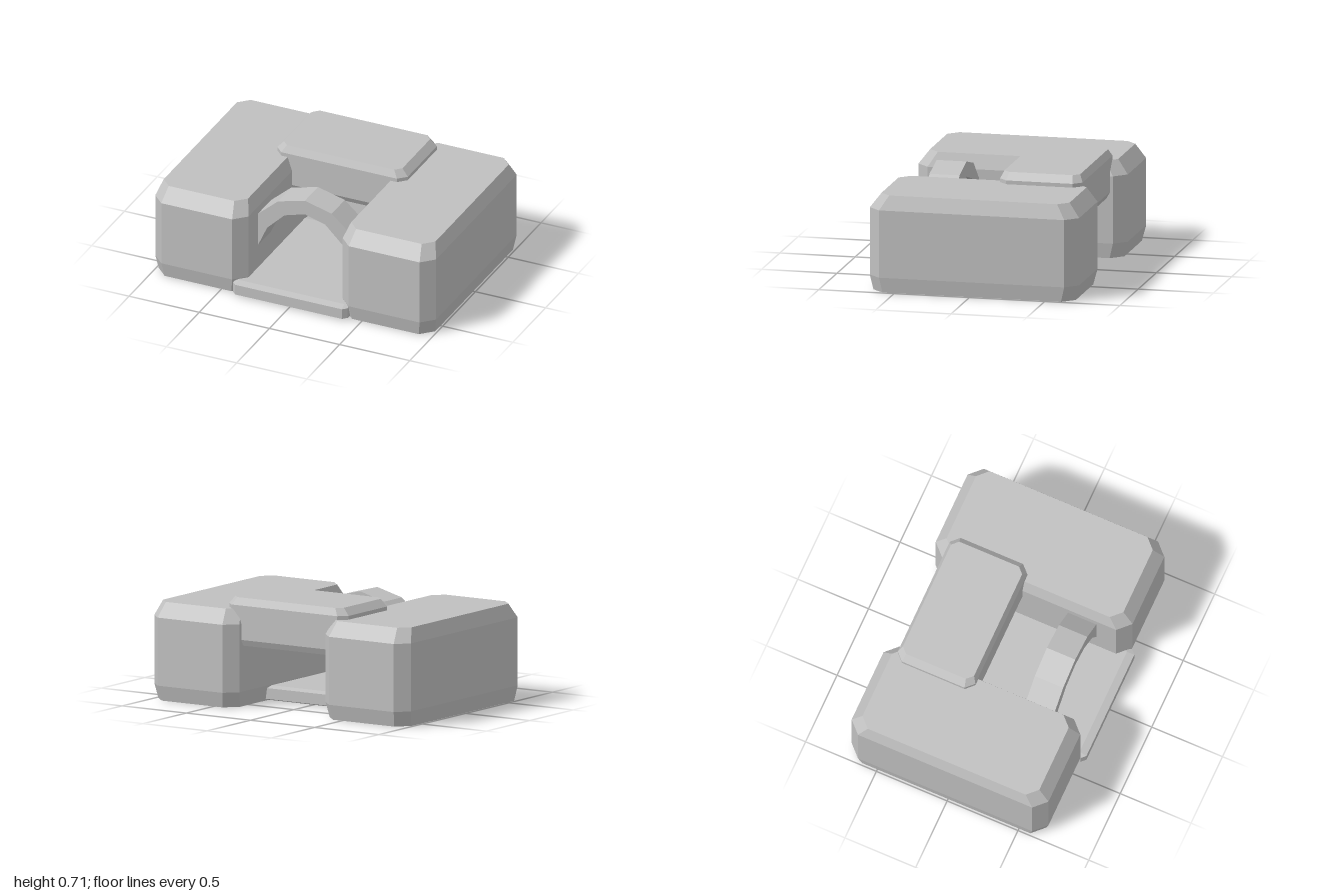
import * as THREE from 'three';

const grey = new THREE.MeshStandardMaterial({ color: 0xc0c0c0 });
grey.name = 'plain grey';

// Corners of a rectangle with cut corners, anticlockwise seen from above
function octagon([y, x0, x1, z0, z1, c]) {
  return [
    [x0 + c, y, z1], [x1 - c, y, z1], [x1, y, z1 - c], [x1, y, z0 + c],
    [x1 - c, y, z0], [x0 + c, y, z0], [x0, y, z0 + c], [x0, y, z1 - c],
  ];
}

// Bevelled solid lofted through octagonal levels, bottom to top
function bevelledBlock(name, levels) {
  const rings = levels.map(octagon);
  const top = rings[rings.length - 1];
  const bottom = rings[0];
  const points = [];
  for (let r = 0; r < rings.length - 1; r++) {
    for (let i = 0; i < 8; i++) {
      const j = (i + 1) % 8;
      const a = rings[r][i], b = rings[r][j], c = rings[r + 1][j], d = rings[r + 1][i];
      points.push(...a, ...b, ...c, ...a, ...c, ...d);
    }
  }
  for (let i = 1; i < 7; i++) {
    points.push(...top[0], ...top[i], ...top[i + 1]);
    points.push(...bottom[0], ...bottom[i + 1], ...bottom[i]);
  }
  const geometry = new THREE.BufferGeometry();
  geometry.setAttribute('position', new THREE.Float32BufferAttribute(points, 3));
  geometry.computeVertexNormals();
  const mesh = new THREE.Mesh(geometry, grey);
  mesh.name = name;
  return mesh;
}

// Faceted half-ellipse band whose ends sink into the side blocks
function arch() {
  const shape = new THREE.Shape();
  const steps = 8;
  for (let i = 0; i <= steps; i++) {
    const t = (i / steps) * Math.PI;
    const x = 0.5 * Math.cos(t), y = 0.01 + 0.66 * Math.sin(t);
    if (i) shape.lineTo(x, y); else shape.moveTo(x, y);
  }
  for (let i = steps; i >= 0; i--) {
    const t = (i / steps) * Math.PI;
    shape.lineTo(0.38 * Math.cos(t), 0.01 + 0.56 * Math.sin(t));
  }
  const geometry = new THREE.ExtrudeGeometry(shape, { depth: 0.2, bevelEnabled: false });
  geometry.translate(0, 0, 0.26);
  const mesh = new THREE.Mesh(geometry, grey);
  mesh.name = 'arch';
  return mesh;
}

export function createModel() {
  const model = new THREE.Group();
  model.name = 'archedBlocks';

  // Matching side blocks
  for (const [name, side] of [['leftBlock', 1], ['rightBlock', -1]]) {
    const level = (y, inner, outer, z0, z1, c) =>
      [y, Math.min(side * inner, side * outer), Math.max(side * inner, side * outer), z0, z1, c];
    model.add(bevelledBlock(name, [
      level(0, 0.35, 0.985, -0.685, 0.66, 0.08),
      level(0.1, 0.335, 1, -0.71, 0.68, 0.08),
      level(0.545, 0.335, 1, -0.71, 0.68, 0.08),
      level(0.64, 0.367, 0.968, -0.642, 0.607, 0.067),
    ]));
  }

  // Thin floor plate between the blocks
  model.add(bevelledBlock('floorPlate', [
    [0, -0.4, 0.4, -0.27, 0.665, 0.025],
    [0.012, -0.408, 0.408, -0.31, 0.708, 0.028],
    [0.083, -0.408, 0.408, -0.31, 0.708, 0.028],
    [0.095, -0.4, 0.4, -0.26, 0.658, 0.025],
  ]));

  // Raised bridge at the back
  model.add(bevelledBlock('backBridge', [
    [0.4, -0.42, 0.42, -0.59, -0.085, 0.04],
    [0.44, -0.465, 0.465, -0.61, -0.062, 0.053],
    [0.665, -0.465, 0.465, -0.61, -0.062, 0.053],
    [0.713, -0.422, 0.422, -0.587, -0.085, 0.04],
  ]));

  model.add(arch());
  return model;
}
